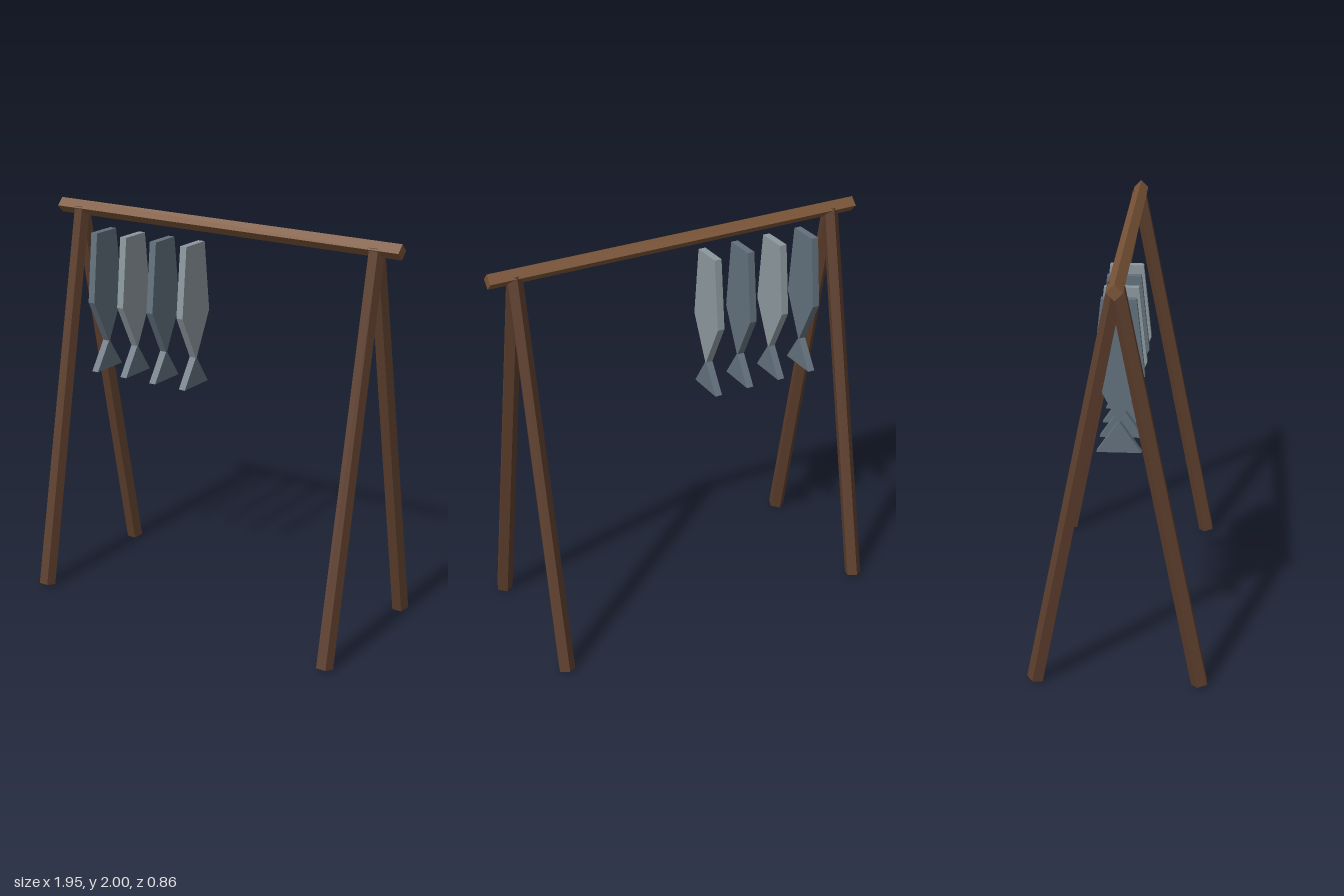
import * as THREE from 'three';

const material = (color) => new THREE.MeshStandardMaterial({ color, flatShading: true });

function addMesh(parent, name, geometry, mat) {
  const mesh = new THREE.Mesh(geometry, mat);
  mesh.name = name;
  parent.add(mesh);
  return mesh;
}

// Flat plate cut from a [z, y] outline, with its thickness along x
function plate(points, thickness) {
  const shape = new THREE.Shape(points.map(([z, y]) => new THREE.Vector2(z, y)));
  const geometry = new THREE.ExtrudeGeometry(shape, { depth: thickness, bevelEnabled: false });
  return geometry.translate(0, 0, -thickness / 2).rotateY(Math.PI / 2);
}

export function createModel() {
  const model = new THREE.Group();
  model.name = 'fishDryingRack';
  const railWood = material(0x7a5436);
  const legWood = material(0x5c3e2c);
  const darkFish = material(0x62707c);
  const lightFish = material(0x8c989e);

  // Top rail: square beam set on its edge
  const railGeometry = new THREE.CylinderGeometry(0.0375, 0.0375, 1.95, 4).rotateZ(Math.PI / 2);
  addMesh(model, 'topRail', railGeometry, railWood).position.y = 1.9625;

  // Legs: five-sided poles leaning together under the rail, ridge to the back
  const spread = 0.39, footY = 0.008, topY = 1.965;
  const length = Math.hypot(spread, topY - footY);
  const lean = Math.atan2(spread, topY - footY);
  const legGeometry = new THREE.CylinderGeometry(0.039, 0.043, length, 5, 1, false, Math.PI);
  for (const x of [-0.846, 0.846]) {
    for (const side of [1, -1]) {
      const name = (side > 0 ? 'front' : 'back') + (x > 0 ? 'Left' : 'Right') + 'Leg';
      const leg = addMesh(model, name, legGeometry, legWood);
      leg.position.set(x, (footY + topY) / 2, side * spread / 2);
      leg.rotation.x = -side * lean;
    }
  }

  // Fish: hanging plates with a tapering body and a triangular tail
  const bodyGeometry = plate(
    [[0, 1.27], [0.117, 1.503], [0.079, 1.858], [-0.079, 1.858], [-0.117, 1.503]], 0.037);
  const tailGeometry = plate([[-0.103, 1.132], [0.103, 1.132], [0, 1.284]], 0.037);
  for (let i = 0; i < 4; i++) {
    const fish = new THREE.Group();
    fish.name = 'fish' + (i + 1);
    fish.position.x = -0.712 + i * 0.182;
    addMesh(fish, 'fishBody', bodyGeometry, i % 2 ? lightFish : darkFish);
    addMesh(fish, 'fishTail', tailGeometry, darkFish);
    model.add(fish);
  }
  return model;
}
